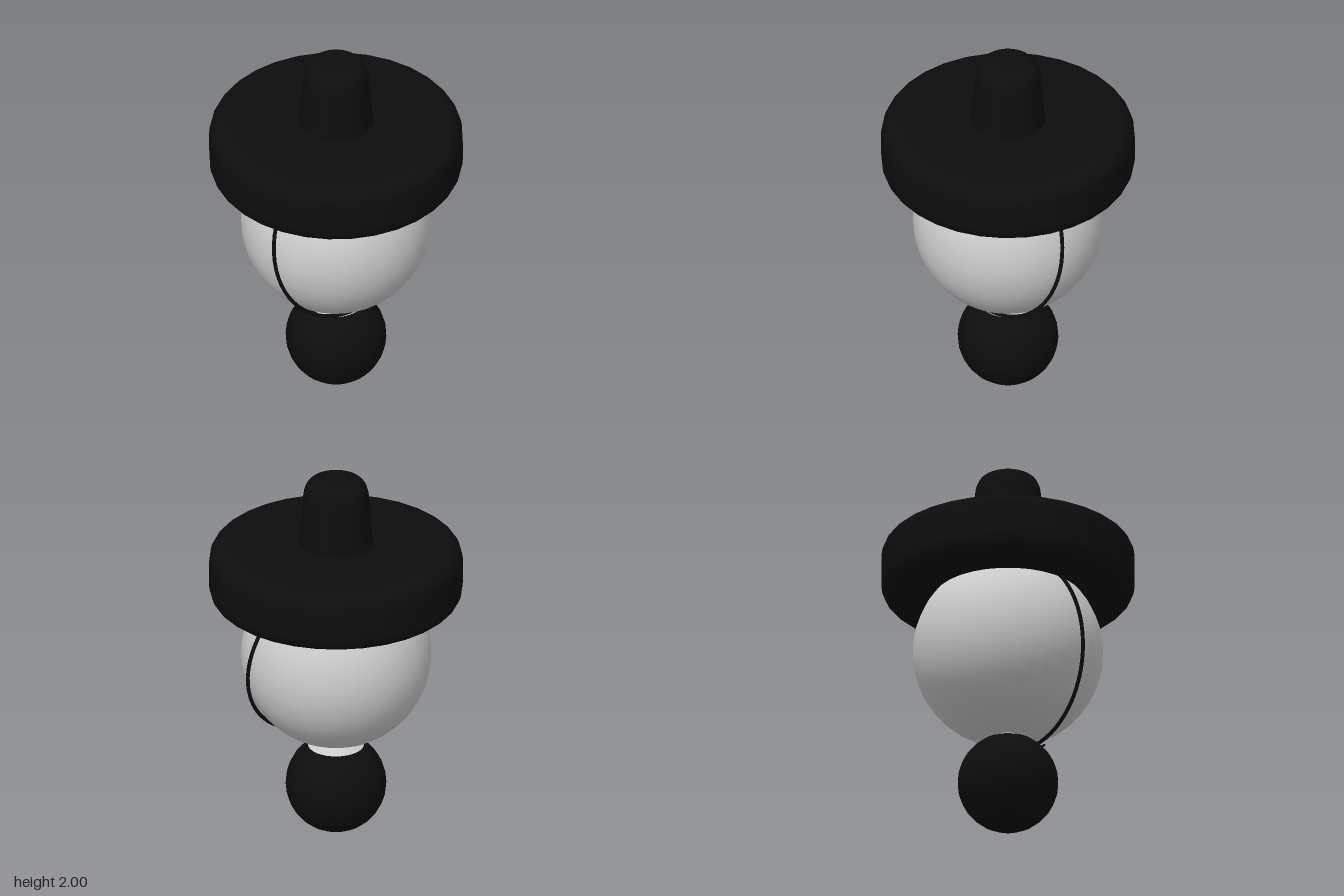
import * as THREE from 'three';

export function createModel() {
  const model = new THREE.Group();
  const grey = new THREE.MeshStandardMaterial({ color: 0xcccccc });
  const black = new THREE.MeshStandardMaterial({ color: 0x0d0d0d });

  const add = (name, geometry, material, x = 0, y = 0, z = 0) => {
    const mesh = new THREE.Mesh(geometry, material);
    mesh.name = name;
    mesh.position.set(x, y, z);
    model.add(mesh);
    return mesh;
  };

  // Body ball: dark, with a pale patch on the top three rows
  const split = (Math.PI * 3) / 16;
  add('body', new THREE.SphereGeometry(0.26, 32, 13, 0, Math.PI * 2, split, Math.PI - split), black, 0, 0.26);
  add('neckPatch', new THREE.SphereGeometry(0.26, 32, 3, 0, Math.PI * 2, 0, split), grey, 0, 0.26);

  // Head
  add('head', new THREE.SphereGeometry(0.492, 32, 24), grey, 0, 1);

  // Hat: brim with rounded edges, small fillet, then a tapered rounded crown
  const profile = new THREE.Path();
  profile.moveTo(0, 1.305);
  profile.lineTo(0.555, 1.305);
  profile.quadraticCurveTo(0.655, 1.305, 0.655, 1.405);
  profile.lineTo(0.655, 1.525);
  profile.quadraticCurveTo(0.655, 1.625, 0.555, 1.625);
  profile.lineTo(0.21, 1.625);
  profile.quadraticCurveTo(0.192, 1.625, 0.19, 1.645);
  profile.lineTo(0.17, 1.9);
  profile.quadraticCurveTo(0.162, 2, 0.08, 2);
  profile.lineTo(0, 2);
  add('hat', new THREE.LatheGeometry(profile.getPoints(8), 32), black);

  // Chin strap: thin ring leaning forward at the chin
  const strap = add('chinStrap', new THREE.TorusGeometry(0.495, 0.01, 8, 64), black, 0, 1.01, 0.085);
  strap.rotation.x = -0.18;

  // Little strap loop under the chin
  const loop = add('strapLoop', new THREE.TorusGeometry(0.014, 0.004, 6, 16), black, -0.057, 0.502, 0.183);
  loop.rotation.x = 0.7;

  return model;
}
